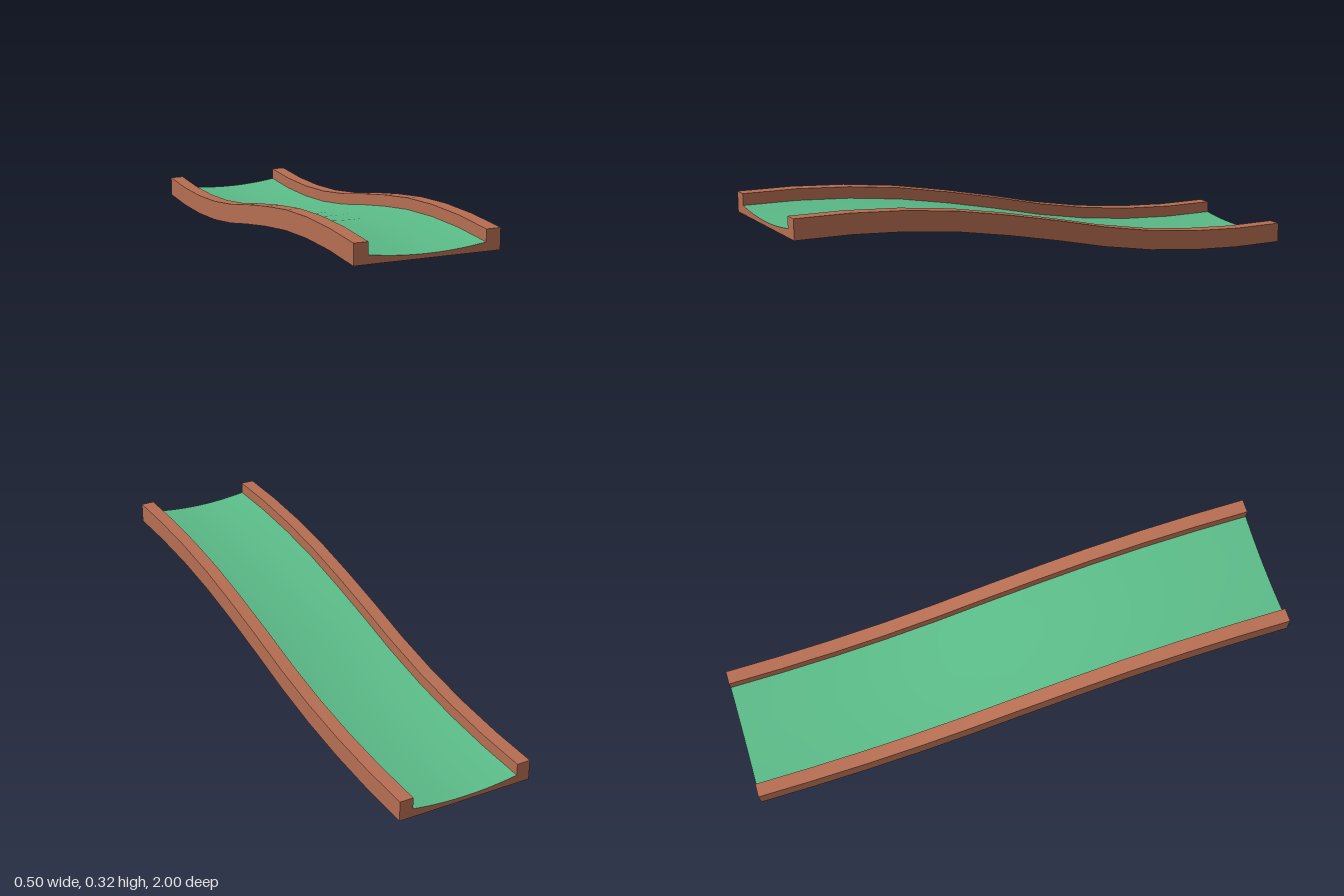
import * as THREE from 'three';

// Rise of the ramp at eleven stations from back (z = -1) to front (z = 1)
const HALF_RISE = [0, 0.004, 0.018, 0.043, 0.08];
const RISE = [...HALF_RISE, 0.127, ...HALF_RISE.map((r) => 0.25 - r).reverse()];
const stationZ = (i) => -1 + (2 * i) / (RISE.length - 1);

// Cross-section sizes
const OUT = 0.25, IN = 0.2, TOP = 0.073, FLOOR_MID = 0.015, FLOOR_EDGE = 0.031;

// Sweep a run of section points along the ramp as one smooth strip
function sweep(points) {
  const positions = [], index = [], n = points.length;
  RISE.forEach((rise, i) => {
    points.forEach(([x, y]) => positions.push(x, y + rise, stationZ(i)));
    if (i === 0) return;
    for (let j = 0; j < n - 1; j++) {
      const a = (i - 1) * n + j, b = a + 1, c = a + n, d = c + 1;
      index.push(a, b, c, b, d, c);
    }
  });
  const geometry = new THREE.BufferGeometry();
  geometry.setAttribute('position', new THREE.Float32BufferAttribute(positions, 3));
  geometry.setIndex(index);
  geometry.computeVertexNormals();
  return geometry;
}

export function createModel() {
  const group = new THREE.Group();
  const wood = new THREE.MeshStandardMaterial({ name: 'wood', color: 0xb66e52 });
  const turf = new THREE.MeshStandardMaterial({ name: 'turf', color: 0x5bbb88 });

  const add = (name, geometry, material) => {
    const mesh = new THREE.Mesh(geometry, material);
    mesh.name = name;
    group.add(mesh);
    return mesh;
  };

  // Dished floor, running from +x to -x
  const floor = [];
  for (let i = 0; i <= 12; i++) {
    const t = 1 - i / 6;
    floor.push([IN * t, FLOOR_MID + (FLOOR_EDGE - FLOOR_MID) * t * t]);
  }
  add('floor', sweep(floor), turf);

  // Underside
  add('underside', sweep([[-OUT, 0], [OUT, 0]]), wood);

  // Rails: outer wall, top and inner wall on each side
  for (const side of [1, -1]) {
    const name = side > 0 ? 'leftRail' : 'rightRail';
    const corners = [[OUT, 0], [OUT, TOP], [IN, TOP], [IN, FLOOR_EDGE]];
    ['Outer', 'Top', 'Inner'].forEach((face, i) => {
      const edge = [corners[i], corners[i + 1]].map(([x, y]) => [x * side, y]);
      add(name + face, sweep(side > 0 ? edge : edge.reverse()), wood);
    });
  }

  // Flat end faces
  const outline = [[-OUT, 0], [OUT, 0], [OUT, TOP], [IN, TOP], ...floor, [-IN, TOP], [-OUT, TOP]];
  const end = new THREE.ShapeGeometry(new THREE.Shape(outline.map(([x, y]) => new THREE.Vector2(x, y))));
  add('frontEnd', end, wood).position.set(0, 0.25, 1);
  const back = add('backEnd', end, wood);
  back.position.z = -1;
  back.rotation.y = Math.PI;

  return group;
}
